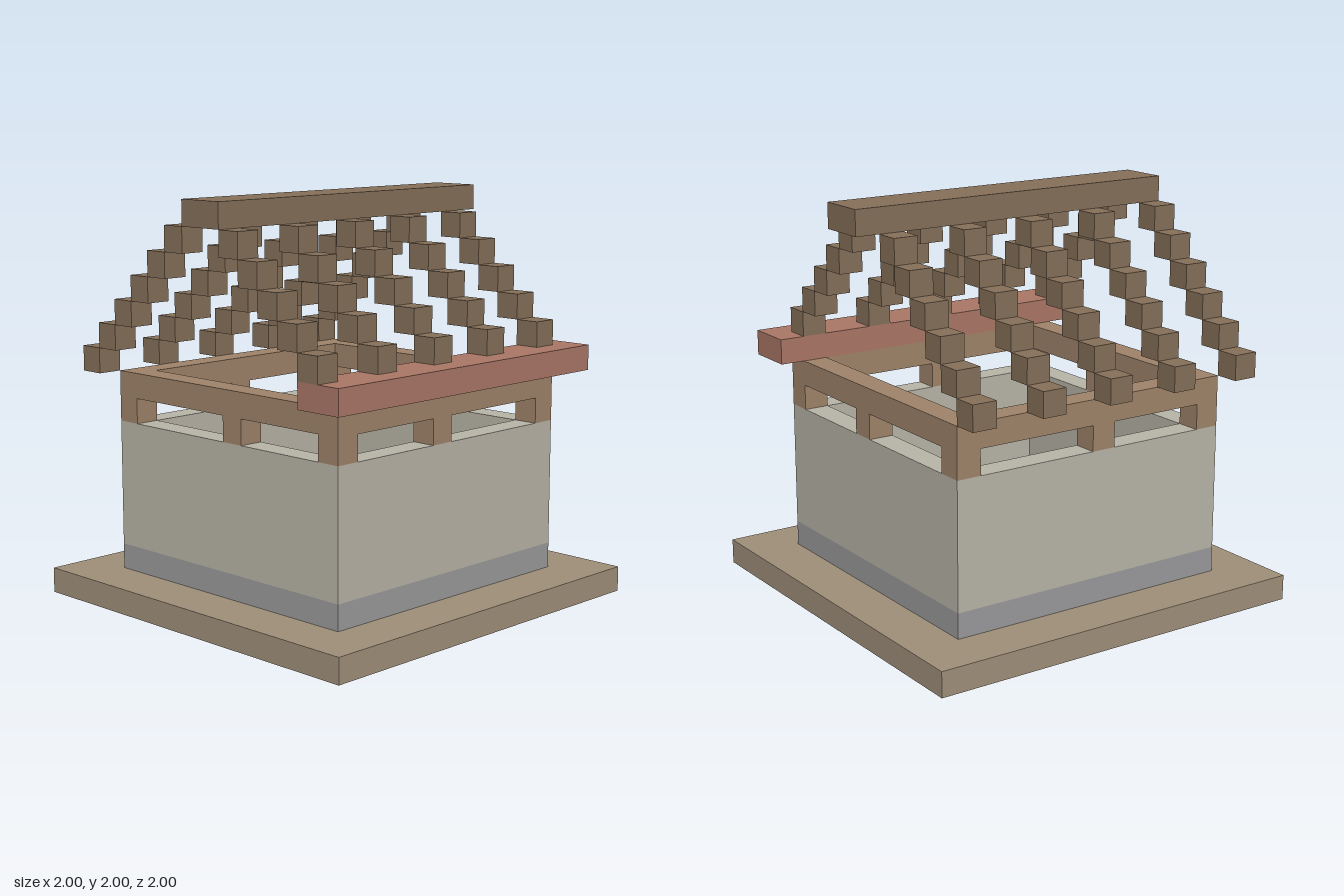
import * as THREE from 'three';

const U = 0.125; // one block
const mat = (color) => new THREE.MeshStandardMaterial({ color, side: THREE.DoubleSide, flatShading: true });

// Box between two corners, leaving out some faces (0 +x, 1 -x, 2 top, 3 bottom, 4 +z, 5 -z)
function blockGeometry([x0, y0, z0], [x1, y1, z1], omit, inward = false) {
  const geo = new THREE.BoxGeometry(x1 - x0, y1 - y0, z1 - z0);
  geo.translate((x0 + x1) / 2, (y0 + y1) / 2, (z0 + z1) / 2);
  const index = [];
  for (let face = 0; face < 6; face++) {
    if (!omit.includes(face)) index.push(...geo.index.array.slice(face * 6, face * 6 + 6));
  }
  if (inward) index.reverse();
  geo.setIndex(index);
  geo.clearGroups();
  return geo;
}

// Flat square, optionally with a square hole, facing up at height y
function flatSquare(half, y, hole) {
  const square = (C, h) => new C([[-h, -h], [h, -h], [h, h], [-h, h]].map(([a, b]) => new THREE.Vector2(a, b)));
  const shape = square(THREE.Shape, half);
  if (hole) shape.holes.push(square(THREE.Path, hole));
  return new THREE.ShapeGeometry(shape).rotateX(-Math.PI / 2).translate(0, y, 0);
}

export function createModel() {
  const model = new THREE.Group();
  const stone = mat(0xb9b5a8), footing = mat(0x9b9b9d), earth = mat(0xa0907a);
  const frameWood = mat(0xa0846a), roofWood = mat(0x86705a), redWood = mat(0xab7767);

  const group = (name) => {
    const g = new THREE.Group();
    g.name = name;
    model.add(g);
    return g;
  };
  const add = (parent, name, geometry, material) => {
    const mesh = new THREE.Mesh(geometry, material);
    mesh.name = name;
    parent.add(mesh);
  };
  // Blocks have no underside
  const block = (parent, name, min, max, material, omit = [3]) =>
    add(parent, name, blockGeometry(min, max, omit), material);
  const outer = 0.75, inner = 0.625;
  // Square ring of wall: outer skin, inner skin and optional top
  const ring = (parent, name, y0, y1, material, top) => {
    add(parent, name + 'Outside', blockGeometry([-outer, y0, -outer], [outer, y1, outer], [2, 3]), material);
    add(parent, name + 'Inside', blockGeometry([-inner, y0, -inner], [inner, y1, inner], [2, 3], true), material);
    if (top) add(parent, name + 'Top', flatSquare(outer, y1, inner), material);
  };

  // Ground slab, open below and under the walls
  const base = group('groundSlab');
  block(base, 'slabSides', [-1, 0, -1], [1, U, 1], earth, [2, 3]);
  add(base, 'slabTop', flatSquare(1, U, outer), earth);
  add(base, 'floor', flatSquare(inner, U), earth);

  // Masonry walls on a darker footing
  const walls = group('walls');
  ring(walls, 'footing', U, 2 * U, footing, false);
  ring(walls, 'wall', 2 * U, 7 * U, stone, true);

  // Timber frame: posts and top plate
  const frame = group('timberFrame');
  ring(frame, 'topPlate', 8 * U, 9 * U, frameWood, true);
  const post = (x, z) => block(frame, 'post', [x, 7 * U, z], [x + U, 8 * U, z + U], frameWood, [2, 3]);
  for (const a of [-outer, inner]) {
    for (const b of [-outer, inner]) post(a, b);
    post(-U, a); // middle of front and back
    post(a, 0);  // middle of each side
  }

  // Roof: ridge, stepped rafters, red front eave beam
  const roof = group('roof');
  block(roof, 'ridgeBeam', [-0.875, 15 * U, -U], [0.875, 16 * U, U], roofWood);
  block(roof, 'eaveBeam', [-0.875, 9 * U, 0.625], [0.875, 10 * U, 0.875], redWood);
  for (let r = 0; r < 5; r++) {
    const x = -0.875 + r * 3 * U;
    for (let i = 0; i < 6; i++) {
      const y = (14 - i) * U, z = (i + 1) * U;
      if (i < 5) block(roof, 'frontRafterBlock', [x, y, z], [x + U, y + U, z + U], roofWood);
      block(roof, 'backRafterBlock', [x, y, -z - U], [x + U, y + U, -z], roofWood);
    }
  }
  return model;
}
